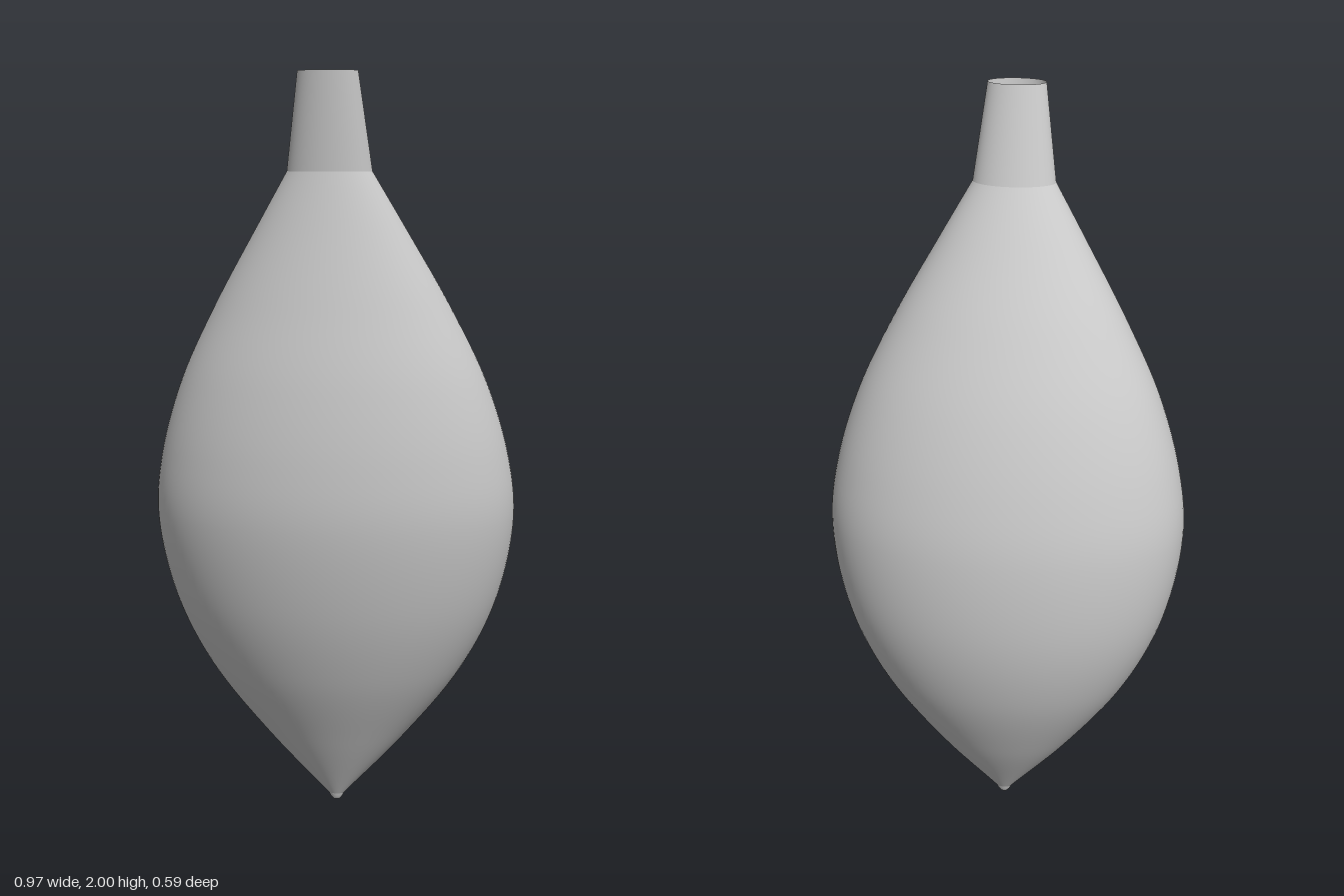
import * as THREE from 'three';

const SIDES = 96;
const DEPTH = 0.6; // depth of each elliptical section relative to its width

// Skin a stack of elliptical sections, each given as (half width, height, z centre)
function loft(name, sections, material) {
  const positions = [];
  const index = [];
  sections.forEach((s, row) => {
    for (let i = 0; i < SIDES; i++) {
      const a = (i / SIDES) * Math.PI * 2;
      positions.push(s.x * Math.sin(a), s.y, s.z + DEPTH * s.x * Math.cos(a));
      if (row === 0) continue;
      const next = (i + 1) % SIDES;
      const low = (row - 1) * SIDES;
      const high = row * SIDES;
      index.push(low + i, low + next, high + next, low + i, high + next, high + i);
    }
  });
  const geometry = new THREE.BufferGeometry();
  geometry.setAttribute('position', new THREE.Float32BufferAttribute(positions, 3));
  geometry.setIndex(index);
  geometry.computeVertexNormals();
  const mesh = new THREE.Mesh(geometry, material);
  mesh.name = name;
  return mesh;
}

const section = (halfWidth, y, z) => new THREE.Vector3(halfWidth, y, z);

export function createModel() {
  const group = new THREE.Group();
  group.name = 'pod';
  const material = new THREE.MeshStandardMaterial({ color: 0xcccccc, side: THREE.DoubleSide });

  const tipTop = section(0.021, 0.02, -0.047);
  const neckBase = section(0.11, 1.75, 0.137);

  // Swollen body, leaning forward towards the neck
  const bodyCurve = new THREE.CatmullRomCurve3([
    tipTop,
    section(0.19, 0.2, -0.05),
    section(0.345, 0.4, -0.043),
    section(0.44, 0.6, -0.028),
    section(0.483, 0.83, -0.004),
    section(0.466, 1.0, 0.015),
    section(0.406, 1.2, 0.04),
    section(0.31, 1.4, 0.07),
    section(0.197, 1.6, 0.107),
    neckBase,
  ]);
  group.add(loft('body', bodyCurve.getPoints(90), material));

  // Open tapering neck
  group.add(loft('neck', [neckBase, section(0.077, 2, 0.184)], material));

  // Small blunt tip closing the bottom
  const tip = [section(0, 0, -0.047), section(0.009, 0.002, -0.047), section(0.016, 0.01, -0.047), tipTop];
  group.add(loft('tip', tip, material));

  return group;
}
